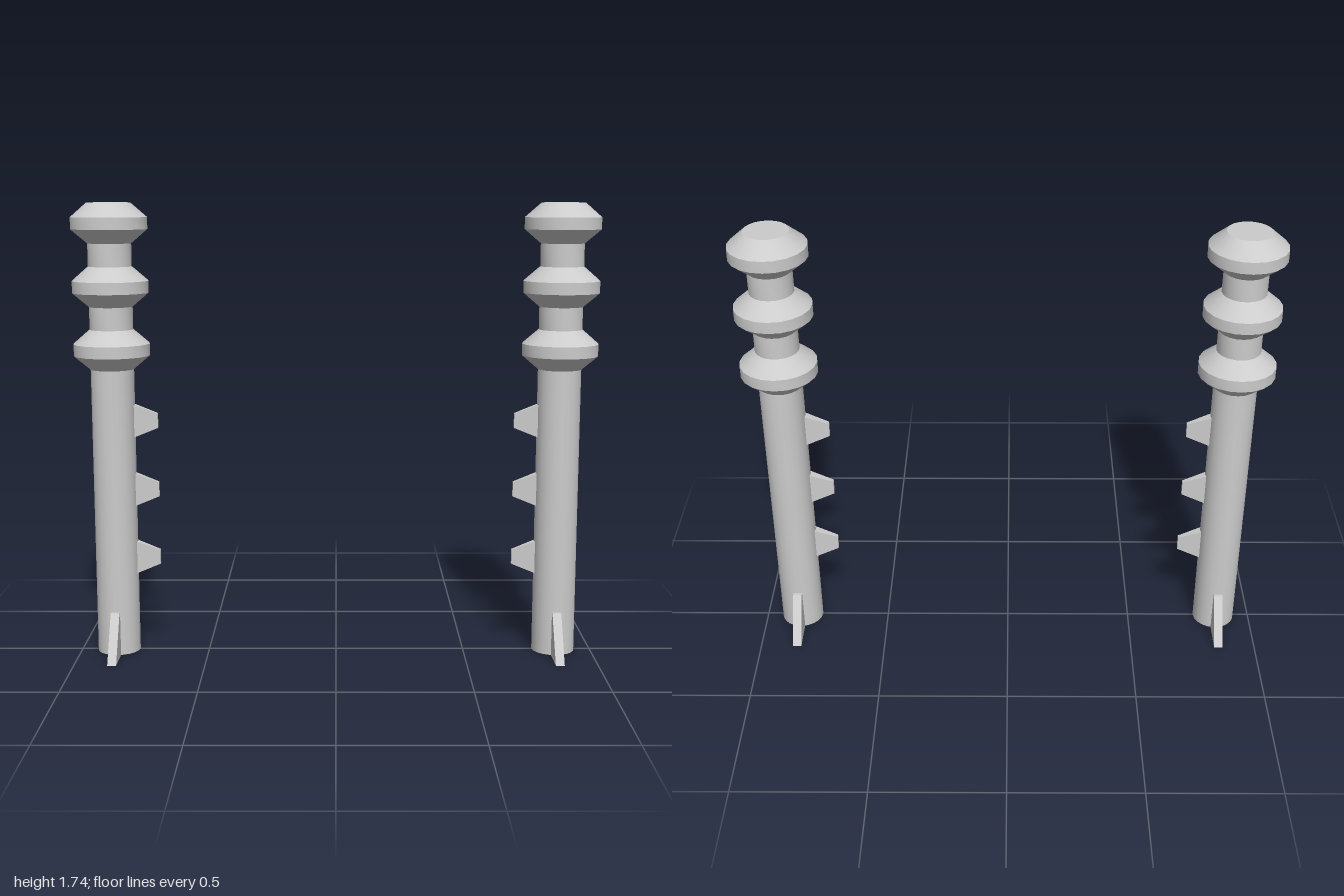
import * as THREE from 'three';
import { toCreasedNormals } from 'three/addons/utils/BufferGeometryUtils.js';

const material = new THREE.MeshStandardMaterial({ color: 0xcccccc });
const SHAFT = 0.083, COLLAR = 0.145, SIDES = 20;

function addMesh(parent, name, geometry) {
  const mesh = new THREE.Mesh(geometry, material);
  mesh.name = name;
  parent.add(mesh);
  return mesh;
}

// Turned column: plain shaft with three bevelled collars, the last forming the cap
function columnGeometry() {
  const profile = [[0, 0], [SHAFT, 0]];
  for (let i = 0; i < 3; i++) {
    const y = 1.113 + i * 0.2385;
    profile.push([SHAFT, y], [COLLAR, y + 0.053], [COLLAR, y + 0.098], [SHAFT, y + 0.152]);
  }
  profile.push([0, profile.at(-1)[1]]);
  const points = profile.map(([r, y]) => new THREE.Vector2(r, y));
  return toCreasedNormals(new THREE.LatheGeometry(points, SIDES), 0.5);
}

// Lug: a block along +x that tapers toward its tip in height and thickness
function lugGeometry() {
  const geometry = new THREE.BoxGeometry(0.095, 0.13, 0.036);
  const p = geometry.attributes.position;
  for (let i = 0; i < p.count; i++) {
    if (p.getX(i) > 0) p.setXYZ(i, p.getX(i), p.getY(i) * 0.43, p.getZ(i) * 0.43);
  }
  geometry.computeVertexNormals();
  return geometry;
}

// Foot fin: sloped plate reaching out along +z
function finGeometry() {
  const shape = new THREE.Shape([
    new THREE.Vector2(0.06, 0), new THREE.Vector2(0.21, 0),
    new THREE.Vector2(0.095, 0.172), new THREE.Vector2(0.06, 0.172),
  ]);
  const geometry = new THREE.ExtrudeGeometry(shape, { depth: 0.034, bevelEnabled: false });
  return geometry.translate(0, 0, -0.017).rotateY(-Math.PI / 2);
}

function createPost(name) {
  const post = new THREE.Group();
  post.name = name;
  addMesh(post, 'column', columnGeometry());
  for (const y of [0.375, 0.644, 0.913]) {
    addMesh(post, 'lug', lugGeometry()).position.set(0.1225, y, 0);
  }
  addMesh(post, 'frontFin', finGeometry());
  addMesh(post, 'backFin', finGeometry()).rotation.y = Math.PI;
  return post;
}

export function createModel() {
  const model = new THREE.Group();
  model.name = 'postPair';
  // Two posts with their lugs facing each other
  const right = createPost('rightPost');
  right.position.x = -0.855;
  const left = createPost('leftPost');
  left.position.x = 0.855;
  left.rotation.y = Math.PI;
  model.add(right, left);
  return model;
}
